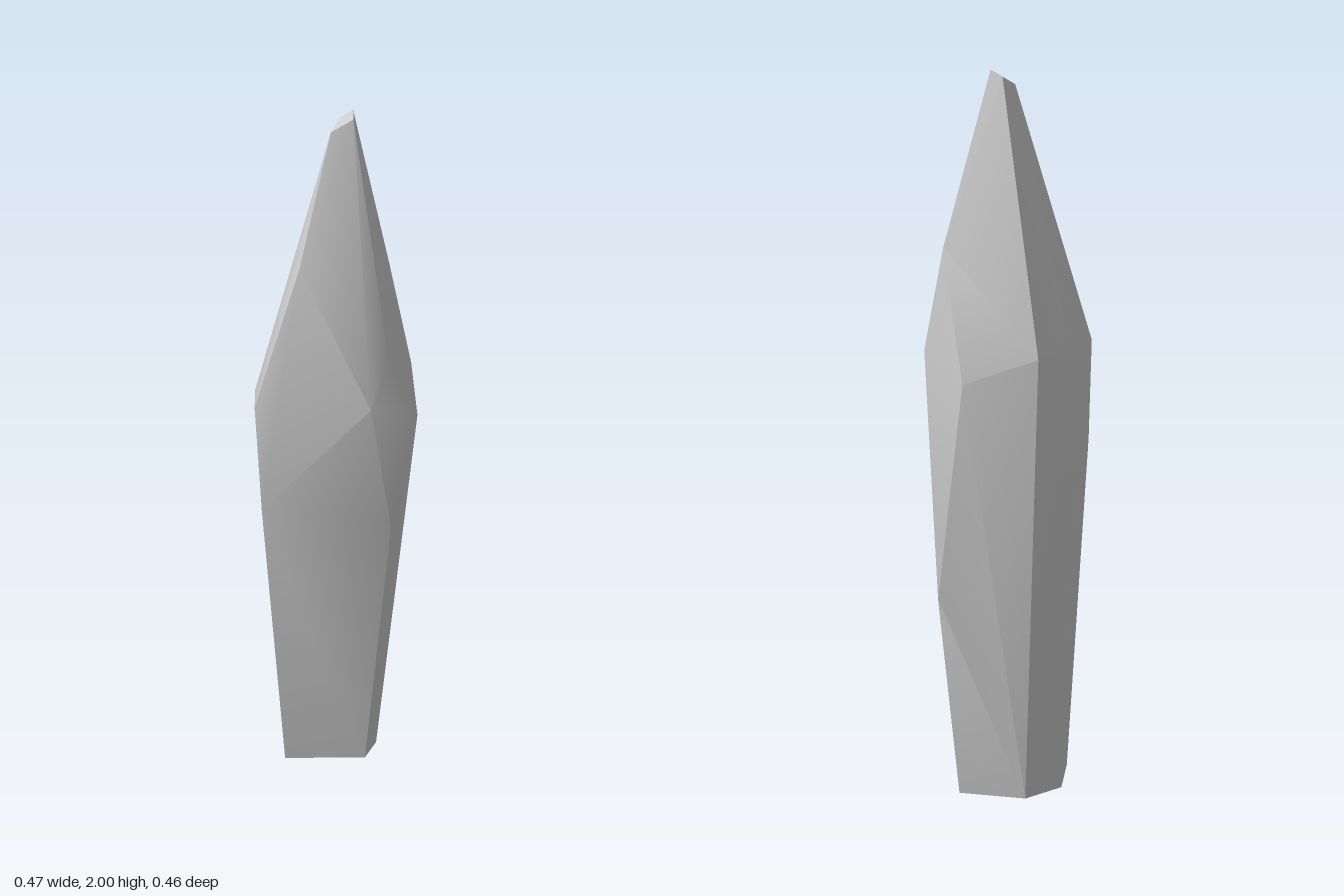
import * as THREE from 'three';
import { ConvexGeometry } from 'three/addons/geometries/ConvexGeometry.js';
import { toCreasedNormals } from 'three/addons/utils/BufferGeometryUtils.js';

// Corners of the crystal as [x, y, z], grouped by level.
const base = [
  [0.12, 0, 0.08], [0.145, 0, -0.115], [-0.04, 0, -0.16],
  [-0.145, 0, -0.08], [-0.17, 0, 0.09], [0.07, 0, 0.14],
];
// Lower points of the cut corners
const lowerCorners = [
  [0.2, 0.57, -0.145], [0.115, 0.9, 0.215], [-0.165, 0.85, -0.145], [-0.232, 0.97, 0.165],
];
// Widest ring
const shoulders = [
  [-0.07, 1.24, -0.23], [0.13, 1.17, -0.2], [0.235, 1.25, -0.06], [0.195, 1.21, 0.16],
  [0.05, 1.28, 0.23], [-0.235, 1.26, 0.115], [-0.2, 1.2, -0.085],
];
// Upper points of the cut corners
const upperCorners = [
  [0.18, 1.53, -0.11], [0.105, 1.4, 0.19], [-0.14, 1.36, -0.12], [-0.11, 1.64, 0.11],
];
const tip = [
  [-0.015, 1.965, 0.045], [0.04, 1.995, 0.05], [0.052, 2, -0.004], [0.02, 1.98, -0.015],
];

export function createModel() {
  const group = new THREE.Group();
  group.name = 'crystal';

  // Convex shard with softly blended facets and sharp main ridges
  const corners = [base, lowerCorners, shoulders, upperCorners, tip]
    .flat()
    .map((p) => new THREE.Vector3(...p));
  const geometry = toCreasedNormals(new ConvexGeometry(corners), THREE.MathUtils.degToRad(40));

  const shard = new THREE.Mesh(geometry, new THREE.MeshStandardMaterial({ color: 0xcccccc }));
  shard.name = 'crystalShard';
  group.add(shard);
  return group;
}
